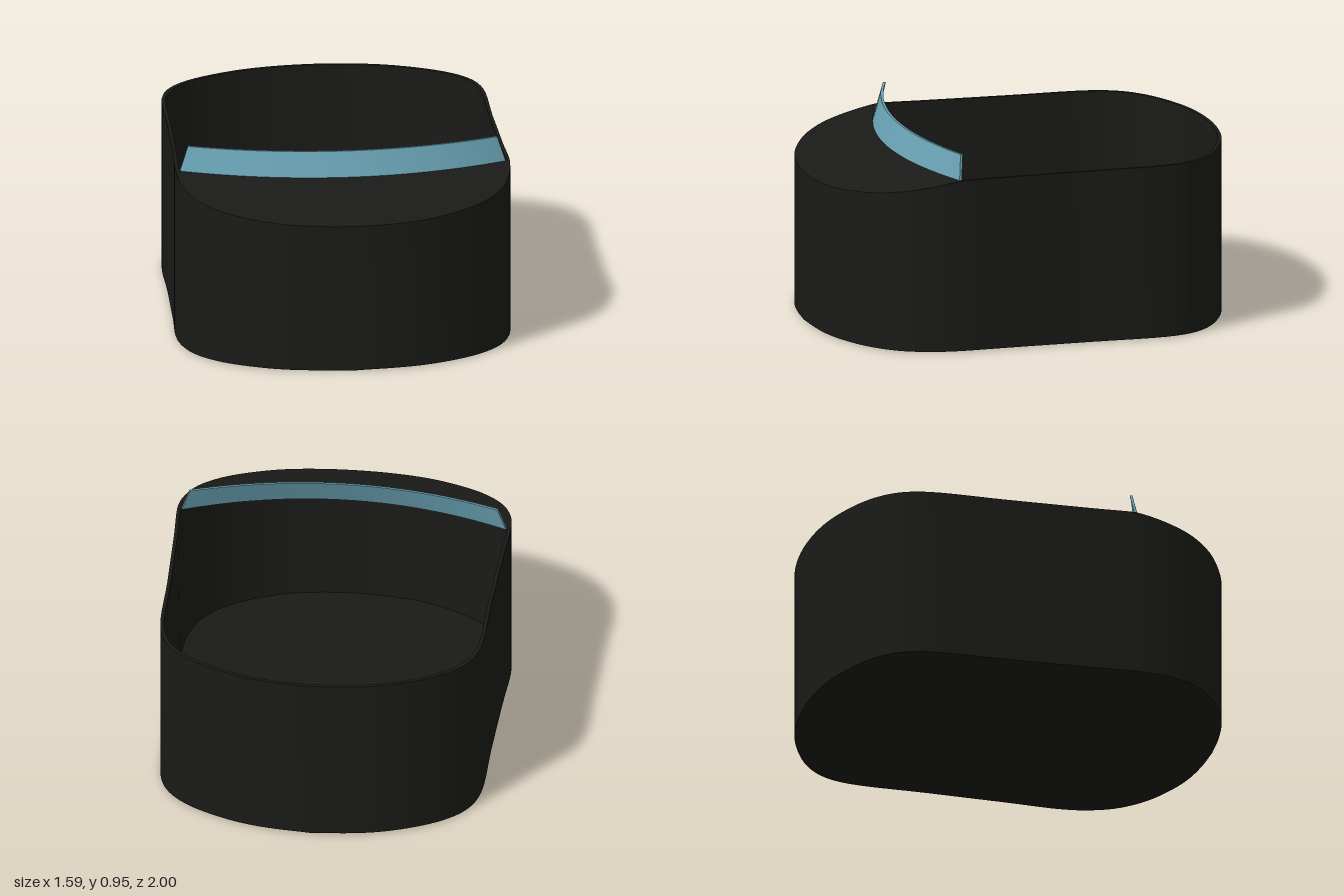
import * as THREE from 'three';

const V = (x, y, z) => new THREE.Vector3(x, y, z);

// Smooth sheet through rows of points; visible side follows the row order
function loft(rows) {
  const n = rows[0].length, index = [];
  for (let r = 0; r < rows.length - 1; r++) {
    for (let i = 0; i < n - 1; i++) {
      const a = r * n + i, b = a + 1, c = a + n, d = c + 1;
      index.push(a, d, b, a, c, d);
    }
  }
  const g = new THREE.BufferGeometry().setFromPoints(rows.flat());
  g.setIndex(index);
  g.computeVertexNormals();
  return g;
}

// Plan outline, half of it given as [x, z] from back to front, then mirrored
const half = [
  [0, -1], [0.26, -0.975], [0.44, -0.92], [0.61, -0.83], [0.71, -0.73], [0.76, -0.6],
  [0.772, -0.2], [0.784, 0.2], [0.793, 0.45], [0.775, 0.58], [0.72, 0.71],
  [0.61, 0.825], [0.46, 0.91], [0.32, 0.96], [0.15, 0.988], [0, 0.995],
];
const mirrored = half.slice(1, -1).reverse().map(([x, z]) => [-x, z]);
const outline = new THREE.CatmullRomCurve3(
  [...half, ...mirrored].map(([x, z]) => V(x, 0, z)), true, 'centripetal').getPoints(160);

// Height of the rim: nearly level, dropping towards the nose
const rimY = (z) => (z < 0.43 ? 0.833 - 0.005 * (z - 0.43) : 0.833 - 0.11 * (z - 0.43) / 0.565);
const screenZ = (x) => 0.6 - 0.17 * (x / 0.79) ** 2;

export function createModel() {
  const group = new THREE.Group();
  const bodyMat = new THREE.MeshStandardMaterial({ color: 0x1a1a18, side: THREE.DoubleSide });
  const screenMat = new THREE.MeshStandardMaterial({ color: 0x6aa3b5, side: THREE.DoubleSide });
  const add = (name, rows, mat, parent = group) => {
    const mesh = new THREE.Mesh(loft(rows), mat);
    mesh.name = name;
    parent.add(mesh);
  };

  // Tub: outer skin, rim, inner skin, floor and underside
  const tub = new THREE.Group();
  tub.name = 'tub';
  group.add(tub);
  const base = outline.map((p) => V(p.x, 0.004, p.z));
  const rim = outline.map((p) => V(p.x, rimY(p.z), p.z));
  const innerRim = rim.map((p) => V(p.x * 0.978, p.y, p.z * 0.983));
  const floorEdge = innerRim.map((p) => V(p.x * 0.99, 0.03, p.z < -0.5 ? -0.5 + (p.z + 0.5) * 0.9 : p.z));
  const centre = (row) => row.map((p) => V(0, p.y, p.z));
  const underside = centre(base).map((p) => V(0, 0, p.z));
  add('outerWall', [base, rim], bodyMat, tub);
  add('rim', [rim, innerRim], bodyMat, tub);
  add('innerWall', [innerRim, floorEdge], bodyMat, tub);
  add('floor', [floorEdge, centre(floorEdge)], bodyMat, tub);
  add('underside', [underside, base], bodyMat, tub);

  // Sloping nose cover between the rim and the foot of the screen
  const nose = rim.filter((p) => p.z >= 0.43);
  const foot = nose.map((p) => V(p.x, 0.831, Math.min(screenZ(p.x), p.z)));
  add('noseCover', [nose, foot], bodyMat);

  // Curved, raked wind deflector with a thin section
  const screen = new THREE.Group();
  screen.name = 'windDeflector';
  group.add(screen);
  const us = Array.from({ length: 41 }, (_, i) => 1 - i / 20);
  const low = us.map((u) => V(0.775 * u, 0.828, 0.6 - 0.165 * u * u));
  const high = us.map((u) => V(0.735 * u, 0.947, 0.555 - 0.135 * u * u));
  const back = (row) => row.map((p) => V(p.x * 0.995, p.y, p.z - 0.012));
  const lowBack = back(low), highBack = back(high);
  add('deflectorFront', [low, high], screenMat, screen);
  add('deflectorTop', [high, highBack], screenMat, screen);
  add('deflectorBack', [highBack, lowBack], screenMat, screen);
  const last = us.length - 1;
  add('deflectorLeftEnd', [[lowBack[0], low[0]], [highBack[0], high[0]]], screenMat, screen);
  add('deflectorRightEnd', [[low[last], lowBack[last]], [high[last], highBack[last]]], screenMat, screen);

  return group;
}
